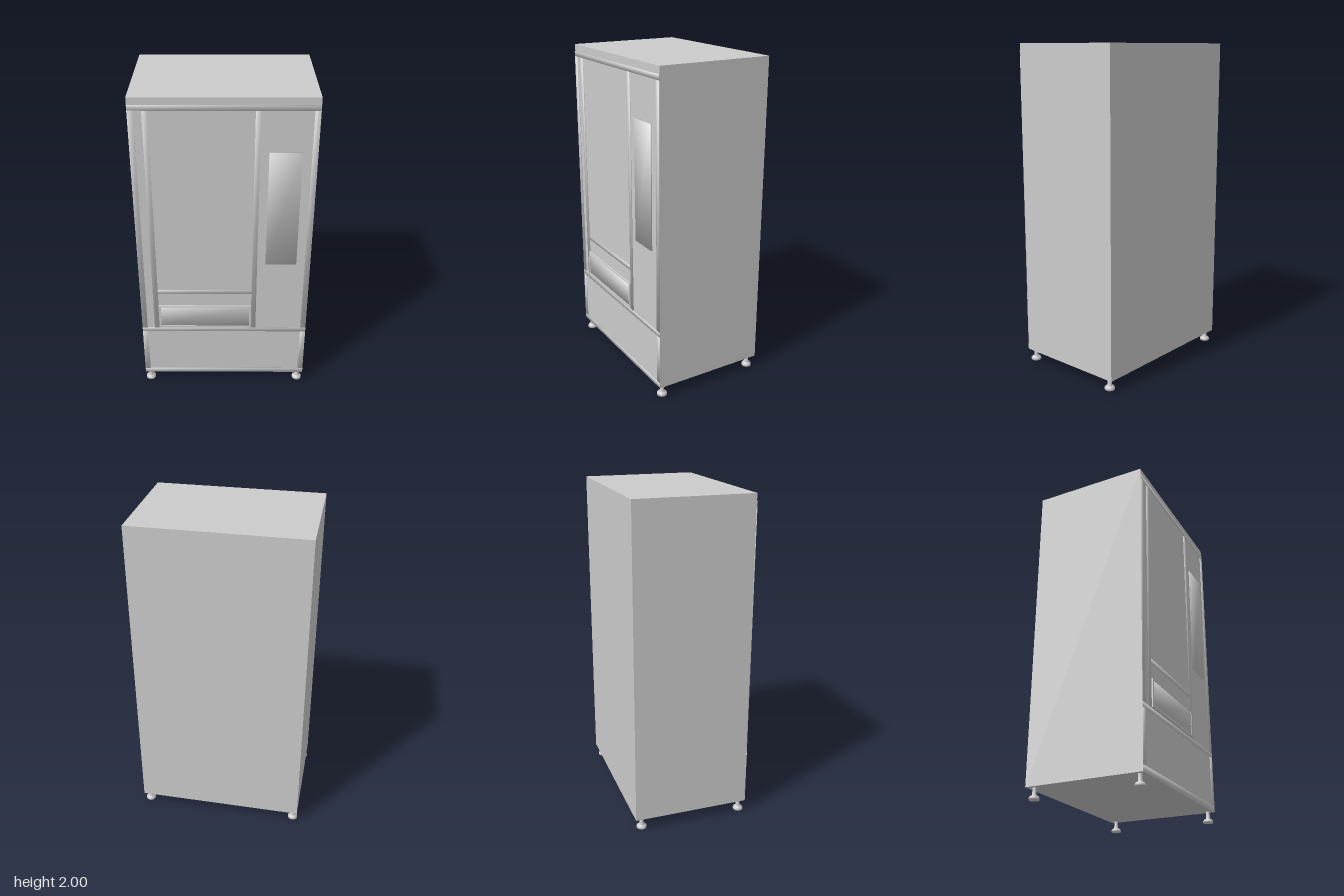
import * as THREE from 'three';

const FRONT = 0.351; // z of the cabinet's front face

export function createModel() {
  const group = new THREE.Group();
  const mat = new THREE.MeshStandardMaterial({ color: 0xcccccc });
  const add = (name, geometry, x = 0, y = 0, z = 0) => {
    const mesh = new THREE.Mesh(geometry, mat);
    mesh.name = name;
    mesh.position.set(x, y, z);
    group.add(mesh);
  };

  // Thin raised strip on the front, its corner normals smoothed so it looks rounded
  const strip = (name, x0, x1, y0, y1, depth) => {
    const g = new THREE.BoxGeometry(x1 - x0, y1 - y0, depth);
    const p = g.attributes.position;
    const n = new THREE.Vector3();
    for (let i = 0; i < p.count; i++) {
      n.set(Math.sign(p.getX(i)), Math.sign(p.getY(i)), Math.sign(p.getZ(i))).normalize();
      g.attributes.normal.setXYZ(i, n.x, n.y, n.z);
    }
    add(name, g, (x0 + x1) / 2, (y0 + y1) / 2, FRONT + depth / 2);
  };

  // Cabinet
  add('cabinet', new THREE.BoxGeometry(1.04, 1.93, FRONT + 0.364), 0, 1.035, (FRONT - 0.364) / 2);

  // Horizontal trims
  const T = 0.004;
  strip('topTrim', -0.52, 0.52, 1.926, 1.957, T);
  strip('middleTrim', -0.52, 0.52, 0.42, 0.45, T);
  strip('bottomTrim', -0.52, 0.52, 0.073, 0.105, T);
  strip('windowSill', -0.41, 0.17, 0.715, 0.745, T);

  // Vertical trims
  for (const [side, x] of [['right', -0.52], ['left', 0.487]]) {
    strip(side + 'UpperEdgeTrim', x, x + 0.033, 0.45, 1.926, T);
    strip(side + 'LowerEdgeTrim', x, x + 0.033, 0.105, 0.42, T);
  }
  strip('windowRightTrim', -0.441, -0.41, 0.45, 1.926, T);
  strip('windowLeftTrim', 0.17, 0.2, 0.45, 1.926, T);

  // Control panel
  strip('controlPanel', 0.25, 0.435, 0.94, 1.68, 0.007);

  // Delivery tray: frame with an inset flap
  const rect = (Type, x0, x1, y0, y1) => new Type([
    new THREE.Vector2(x0, y0), new THREE.Vector2(x1, y0),
    new THREE.Vector2(x1, y1), new THREE.Vector2(x0, y1),
  ]);
  const frame = rect(THREE.Shape, -0.41, 0.17, 0.455, 0.625);
  frame.holes.push(rect(THREE.Path, -0.396, 0.158, 0.472, 0.617));
  add('trayFrame', new THREE.ExtrudeGeometry(frame, { depth: 0.012, bevelEnabled: false }), 0, 0, FRONT);
  strip('trayFlap', -0.396, 0.158, 0.472, 0.617, 0.009);

  // Levelling feet
  const profile = [[0, 0], [0.031, 0], [0.031, 0.012], [0.024, 0.021], [0.013, 0.027], [0.011, 0.072]]
    .map(([r, y]) => new THREE.Vector2(r, y));
  for (const x of [-0.49, 0.487])
    for (const z of [-0.322, 0.32])
      add((z > 0 ? 'front' : 'back') + (x > 0 ? 'Left' : 'Right') + 'Foot',
        new THREE.LatheGeometry(profile, 16), x, 0, z);

  return group;
}
